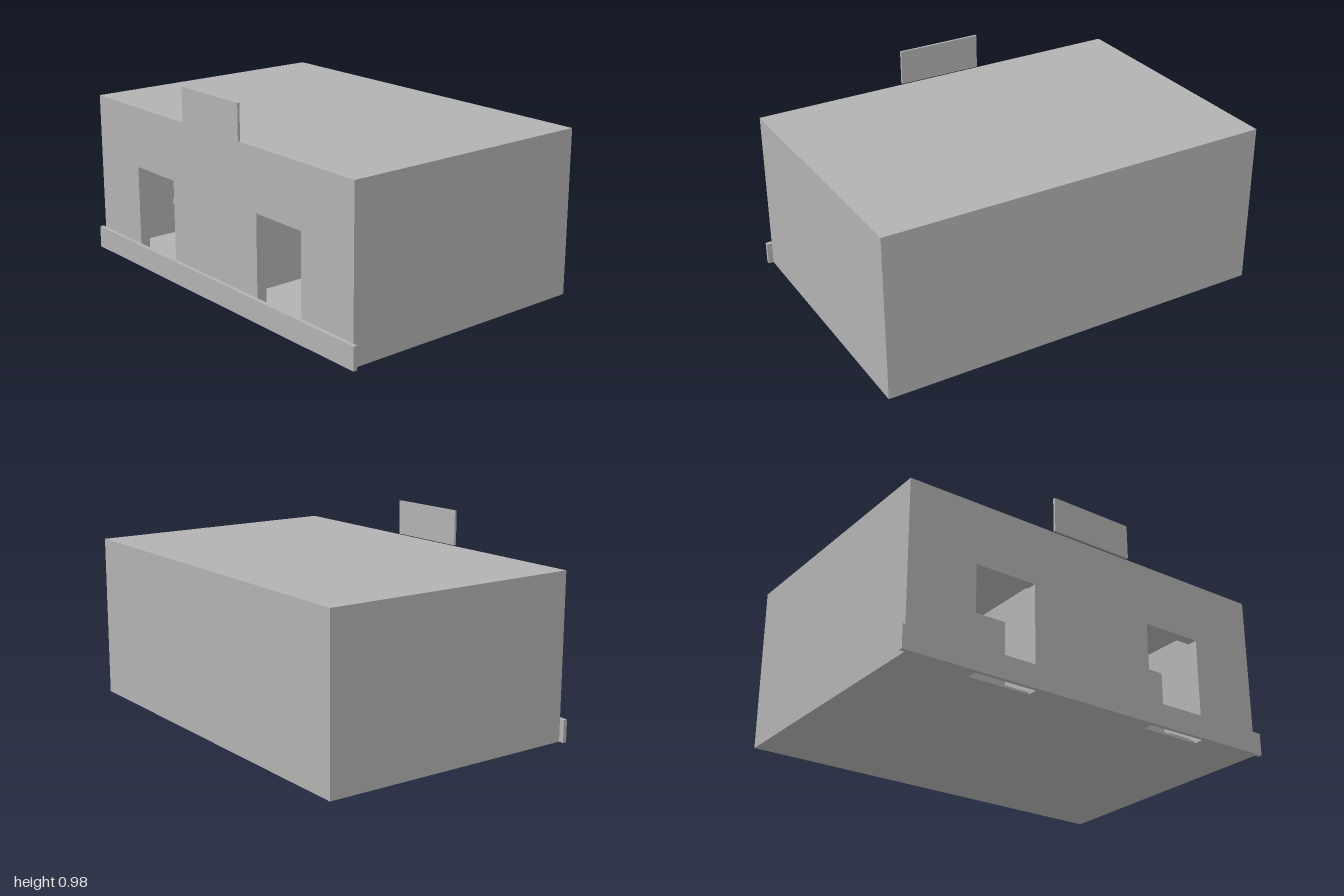
import * as THREE from 'three';

export function createModel() {
  const building = new THREE.Group();
  building.name = 'building';
  const concrete = new THREE.MeshStandardMaterial({ color: 0xb2b2b2 });
  concrete.name = 'concrete grey';

  const add = (name, geometry) => {
    const mesh = new THREE.Mesh(geometry, concrete);
    mesh.name = name;
    building.add(mesh);
    return mesh;
  };
  // Box given by its limits on each axis
  const box = (name, x0, x1, y0, y1, z0, z1) =>
    add(name, new THREE.BoxGeometry(x1 - x0, y1 - y0, z1 - z0))
      .position.set((x0 + x1) / 2, (y0 + y1) / 2, (z0 + z1) / 2);

  const W = 0.975, H = 0.805, FRONT = 0.645, BACK = -0.66, T = 0.05;
  const inner = FRONT - T;
  const doorNear = 0.325, doorFar = 0.635, doorTop = 0.505;

  // Front wall with two doorways open down to the ground
  const outline = [
    [-W, 0], [-doorFar, 0], [-doorFar, doorTop], [-doorNear, doorTop], [-doorNear, 0],
    [doorNear, 0], [doorNear, doorTop], [doorFar, doorTop], [doorFar, 0],
    [W, 0], [W, H], [-W, H],
  ].map(([x, y]) => new THREE.Vector2(x, y));
  add('frontWall', new THREE.ExtrudeGeometry(new THREE.Shape(outline), { depth: T, bevelEnabled: false }))
    .position.z = inner;

  // Rest of the shell
  box('backWall', -W, W, 0, H, BACK, BACK + T);
  box('rightWall', -W, -W + T, 0, H, BACK + T, inner);
  box('leftWall', W - T, W, 0, H, BACK + T, inner);
  box('floor', -W + T, W - T, 0, 0.01, BACK + T, inner);
  box('roof', -W + T, W - T, H - T, H, BACK + T, inner);

  // Wall between the two rooms
  box('dividingWall', -0.05, 0.05, 0.01, H - T, BACK + T, inner);

  // Each room has a screen behind its door and a counter on the outer wall
  for (const side of [-1, 1]) {
    const label = side < 0 ? 'right' : 'left';
    const cx = side * (doorNear + doorFar) / 2;
    box(label + 'DoorScreen', cx - 0.24, cx + 0.24, 0.01, 0.48, 0.27, 0.31);
    const a = side * (W - T), b = side * 0.79;
    box(label + 'Counter', Math.min(a, b), Math.max(a, b), 0.17, 0.195, -0.1, 0.265);
  }

  // Low kerb along the front and the blank board above the roof edge
  box('frontKerb', -1, 1, 0, 0.11, FRONT, 0.665);
  box('roofBoard', -0.215, 0.215, 0.808, 0.98, FRONT, 0.657);

  return building;
}
